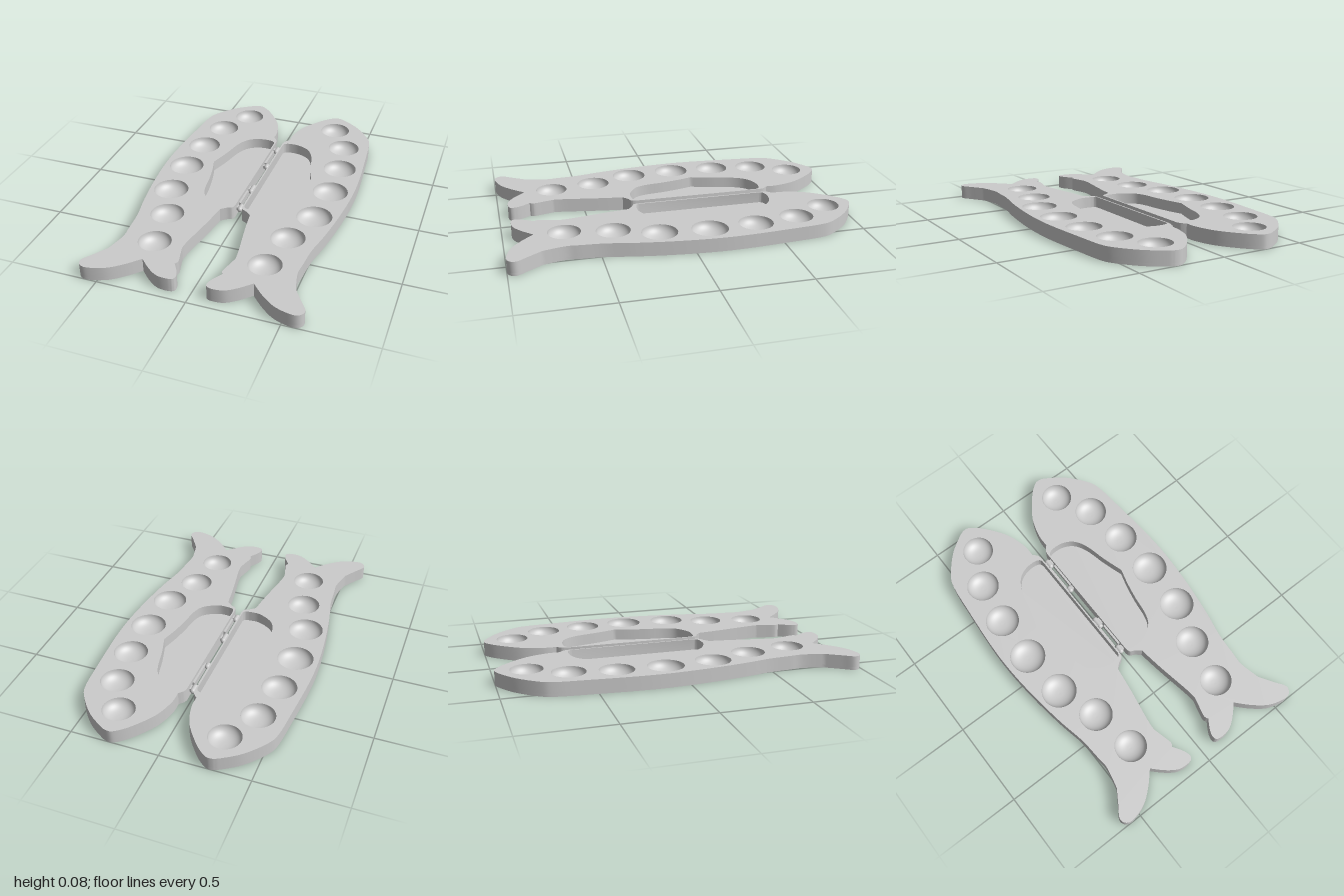
import * as THREE from 'three';
import { toCreasedNormals } from 'three/addons/utils/BufferGeometryUtils.js';

const TOP = 0.08, FLOOR = 0.016, PIN_Y = 0.045;

// Outline of one half as smooth runs; each run ends in a corner shared with the next.
const OUTLINE = [
  [[0.022, -0.56], [0.03, -0.585], [0.053, -0.61]],
  [[0.053, -0.61], [0.056, -0.69], [0.095, -0.81], [0.18, -0.93], [0.245, -0.99], [0.285, -1],
    [0.333, -0.98], [0.43, -0.91], [0.52, -0.8], [0.55, -0.72], [0.566, -0.56], [0.586, -0.29],
    [0.587, -0.1], [0.57, 0.11], [0.54, 0.32], [0.508, 0.48], [0.497, 0.61], [0.492, 0.69], [0.518, 0.81]],
  [[0.518, 0.81], [0.57, 0.89], [0.608, 0.95], [0.592, 0.99], [0.545, 0.998], [0.455, 0.97],
    [0.376, 0.91], [0.307, 0.838]],
  [[0.307, 0.838], [0.243, 0.9], [0.18, 0.94], [0.11, 0.945], [0.085, 0.925], [0.095, 0.88], [0.132, 0.82]],
  [[0.132, 0.82], [0.122, 0.795], [0.135, 0.74], [0.15, 0.68]],
  [[0.15, 0.68], [0.143, 0.61], [0.11, 0.42], [0.09, 0.276]],
  [[0.09, 0.276], [0.058, 0.25], [0.03, 0.235], [0.022, 0.21]],
];
// Large tray beside the hinge
const TRAY = [
  [[0.03, 0.2], [0.04, 0.218], [0.075, 0.226], [0.138, 0.222], [0.217, 0.175], [0.25, 0.106],
    [0.265, 0], [0.286, -0.106], [0.312, -0.2]],
  [[0.312, -0.2], [0.275, -0.32], [0.243, -0.45], [0.2, -0.525], [0.138, -0.56], [0.074, -0.566],
    [0.04, -0.555], [0.03, -0.535]],
];
// Round wells: x, z, radius
const WELLS = [
  [0.298, -0.833, 0.09], [0.407, -0.626, 0.094], [0.444, -0.374, 0.097], [0.455, -0.106, 0.102],
  [0.436, 0.172, 0.1], [0.355, 0.412, 0.095], [0.312, 0.674, 0.091],
];

const material = new THREE.MeshStandardMaterial({ color: 0xcccccc });

function part(name, geometry, parent) {
  const mesh = new THREE.Mesh(geometry, material);
  mesh.name = name;
  parent.add(mesh);
  return mesh;
}

// Samples the runs into one closed path, mirrored by side
function trace(path, runs, side) {
  const points = [];
  for (const run of runs) {
    const curve = new THREE.SplineCurve(run.map(([x, z]) => new THREE.Vector2(x * side, z)));
    const samples = curve.getPoints((run.length - 1) * 5);
    if (points.length && samples[0].distanceTo(points[points.length - 1]) < 1e-6) samples.shift();
    points.push(...samples);
  }
  return path.setFromPoints(points);
}

// Extrudes a plan shape (x, z) between two heights
function slab(shape, low, high) {
  const g = new THREE.ExtrudeGeometry(shape, { depth: high - low, bevelEnabled: false, curveSegments: 48 });
  g.rotateX(Math.PI / 2).translate(0, high, 0);
  return toCreasedNormals(g, 0.6);
}

// Bowl with a steep rim and a softly flattened bottom
function bowl(radius) {
  const profile = [];
  for (let i = 0; i <= 12; i++) {
    const t = (i / 12) * Math.PI / 2;
    profile.push(new THREE.Vector2(radius * Math.pow(Math.max(Math.cos(t), 0), 0.8), TOP - 0.06 * Math.sin(t)));
  }
  return new THREE.LatheGeometry(profile, 48);
}

function buildHalf(side) {
  const half = new THREE.Group();
  half.name = side > 0 ? 'leftHalf' : 'rightHalf';

  // Solid base, which is also the tray floor
  part('base', slab(trace(new THREE.Shape(), OUTLINE, side), 0, FLOOR), half);

  // Upper body pierced by tray and wells
  const shape = trace(new THREE.Shape(), OUTLINE, side);
  shape.holes.push(trace(new THREE.Path(), TRAY, side));
  for (const [x, z, r] of WELLS) {
    shape.holes.push(new THREE.Path().absarc(x * side, z, r, 0, Math.PI * 2, false));
  }
  part('body', slab(shape, FLOOR, TOP), half);

  for (const [x, z, r] of WELLS) part('well', bowl(r), half).position.set(x * side, 0, z);

  // Raised hinge lips between the knuckle pairs
  for (const [from, to] of [[-0.48, -0.32], [0.01, 0.15]]) {
    const lip = part('hingeLip', new THREE.BoxGeometry(0.014, 0.03, to - from), half);
    lip.position.set(0.017 * side, PIN_Y, (from + to) / 2);
  }
  return half;
}

function buildHinge() {
  const hinge = new THREE.Group();
  hinge.name = 'hinge';
  // Rounded knuckles with short arms to both halves
  for (const [z, length] of [[-0.512, 0.065], [-0.302, 0.045], [-0.03, 0.08], [0.178, 0.06]]) {
    const knuckle = part('knuckle', new THREE.CapsuleGeometry(0.016, length - 0.032, 6, 20), hinge);
    knuckle.rotation.x = Math.PI / 2;
    knuckle.position.set(0, PIN_Y, z);
    part('knuckleArm', new THREE.BoxGeometry(0.046, 0.018, length * 0.5), hinge).position.set(0, PIN_Y, z);
  }
  return hinge;
}

export function createModel() {
  const model = new THREE.Group();
  model.name = 'hingedFishTray';
  model.add(buildHalf(1), buildHalf(-1), buildHinge());
  return model;
}
